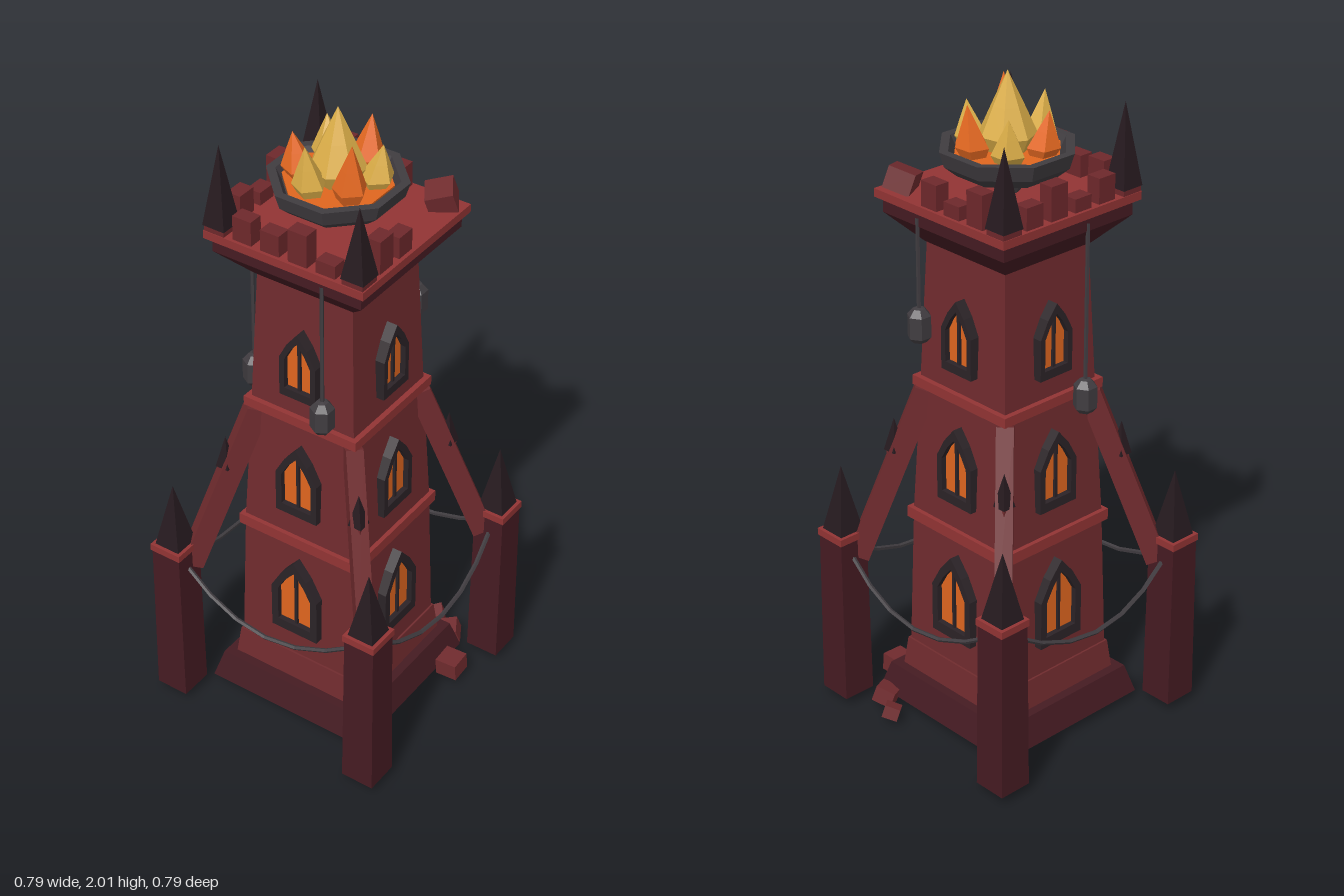
import * as THREE from 'three';

const mat = (color) => new THREE.MeshStandardMaterial({ color, flatShading: true });

export function createModel() {
  const M = {
    brick: mat(0x702b2e), dark: mat(0x451b22), trim: mat(0x923434), merlon: mat(0x6e282b),
    spike: mat(0x261a1f), iron: mat(0x403c40), frame: mat(0x2b2327),
    glow: mat(0xe0661f), orange: mat(0xe86a22), yellow: mat(0xdcae48),
  };
  const root = new THREE.Group();
  root.name = 'watchtower';

  const add = (name, geo, m, x = 0, y = 0, z = 0, parent = root) => {
    const mesh = new THREE.Mesh(geo, m);
    mesh.name = name;
    mesh.position.set(x, y, z);
    parent.add(mesh);
    return mesh;
  };
  // Square frustum given by half widths and its bottom and top heights
  const block = (name, m, y0, y1, bottom, top = bottom, x = 0, z = 0, parent = root) =>
    add(name, new THREE.CylinderGeometry(top * Math.SQRT2, bottom * Math.SQRT2, y1 - y0, 4).rotateY(Math.PI / 4),
      m, x, (y0 + y1) / 2, z, parent);
  // Tube through points, kept angular
  const rope = (name, pts, segs, r = 0.007) =>
    add(name, new THREE.TubeGeometry(new THREE.CatmullRomCurve3(pts), segs, r, 5), M.iron);

  // Tower body
  block('baseSlab', M.dark, 0.02, 0.11, 0.275, 0.25);
  block('baseStep', M.brick, 0.11, 0.2, 0.222, 0.212);
  block('lowerTier', M.brick, 0.2, 0.63, 0.206, 0.195);
  block('lowerBand', M.trim, 0.62, 0.655, 0.208);
  block('middleTier', M.brick, 0.64, 1.06, 0.195, 0.176);
  block('upperBand', M.trim, 1.055, 1.085, 0.192);
  block('upperTier', M.brick, 1.07, 1.52, 0.176, 0.158);
  block('corbel', M.dark, 1.5, 1.585, 0.163, 0.243);
  block('parapet', M.dark, 1.585, 1.635, 0.243);
  block('deck', M.trim, 1.63, 1.655, 0.26);

  // Merlons; the rear left corner of the parapet is broken away
  const heights = [0.08, 0.07, 0.105, 0.045];
  const merlon = (x, z, w, d, h) =>
    add('merlon', new THREE.BoxGeometry(w, h, d), M.merlon, x, 1.65 + h / 2, z);
  [-0.137, -0.046, 0.044, 0.134].forEach((p, i) => {
    merlon(p, 0.228, 0.061, 0.045, heights[i]);
    merlon(-0.228, p, 0.045, 0.061, heights[(i + 1) % 4]);
    if (i < 3) merlon(p, -0.228, 0.061, 0.045, heights[(i + 2) % 4]);
    if (i > 1) merlon(0.226, p, 0.045, 0.061, heights[i - 1]);
  });

  // Parapet pinnacles
  for (const [x, z, top] of [[-0.225, -0.225, 1.9], [-0.225, 0.225, 1.915], [0.223, 0.223, 1.885]]) {
    block('parapetPinnacleBase', M.merlon, 1.65, 1.675, 0.033, 0.033, x, z);
    block('parapetPinnacle', M.spike, 1.672, top, 0.036, 0, x, z);
  }

  // Broken masonry on the deck and around the foot
  for (const [x, y, z, s, rx, ry, rz] of [
    [0.198, 1.685, -0.208, 0.08, 0.25, 0.55, 0.15], [0.313, 0.041, -0.165, 0.07, 0.05, 0.03, 0.04],
    [0.22, 0.03, -0.297, 0.062, 0.2, 0.5, 0.2], [0.143, 0.026, -0.343, 0.048, 0.3, 0.7, 0.1]]) {
    add('rubble', new THREE.BoxGeometry(s, s * 0.8, s), M.brick, x, y, z).rotation.set(rx, ry, rz);
  }

  // Pointed windows on all four sides
  const arch = (Type, w, y0, ys, y1) => {
    const s = new Type();
    s.moveTo(-w, y0);
    s.lineTo(w, y0);
    s.lineTo(w, ys);
    s.lineTo(w * 0.55, ys + (y1 - ys) * 0.55);
    s.lineTo(0, y1);
    s.lineTo(-w * 0.55, ys + (y1 - ys) * 0.55);
    s.lineTo(-w, ys);
    s.closePath();
    return s;
  };
  for (const [y0, h, w, face] of [[0.3, 0.272, 0.081, 0.228], [0.742, 0.242, 0.071, 0.211], [1.155, 0.222, 0.061, 0.198]]) {
    const ys = y0 + h * 0.57;
    const outer = arch(THREE.Shape, w, y0, ys, y0 + h);
    outer.holes.push(arch(THREE.Path, w * 0.72, y0 + h * 0.12, ys - 0.004, y0 + h * 0.86));
    const frameGeo = new THREE.ExtrudeGeometry(outer, { depth: 0.06, bevelEnabled: false });
    const paneGeo = new THREE.ShapeGeometry(arch(THREE.Shape, w * 0.8, y0 + h * 0.08, ys, y0 + h * 0.9));
    for (let k = 0; k < 4; k++) {
      const win = new THREE.Group();
      win.name = 'window';
      win.rotation.y = k * Math.PI / 2;
      root.add(win);
      add('windowFrame', frameGeo, M.frame, 0, 0, face - 0.06, win);
      add('windowPane', paneGeo, M.glow, 0, 0, face - 0.017, win);
      add('windowMullion', new THREE.BoxGeometry(0.009, h * 0.76, 0.01), M.frame, 0, y0 + h * 0.49, face - 0.014, win);
    }
  }

  // Corner piers with flying buttresses
  for (const sx of [-1, 1]) for (const sz of [-1, 1]) {
    const x = sx * 0.344, z = sz * 0.344;
    block('pier', M.dark, 0.02, 0.556, 0.053, 0.049, x, z);
    block('pierCap', M.trim, 0.553, 0.575, 0.053, 0.053, x, z);
    block('pierSpike', M.spike, 0.575, 0.785, 0.042, 0, x, z);
    const a = new THREE.Vector3(sx * 0.312, 0.49, sz * 0.312);
    const b = new THREE.Vector3(sx * 0.165, 1.045, sz * 0.165);
    const mid = a.clone().add(b).multiplyScalar(0.5);
    const arm = add('flyingButtress', new THREE.BoxGeometry(0.05, 0.065, a.distanceTo(b)), M.brick, mid.x, mid.y, mid.z);
    arm.lookAt(b);
    block('buttressPinnacleBase', M.brick, 0.79, 0.845, 0.017, 0.017, sx * 0.232, sz * 0.232);
    block('buttressPinnacle', M.spike, 0.842, 0.945, 0.022, 0, sx * 0.232, sz * 0.232);
  }

  // Sagging chains between the piers
  for (let k = 0; k < 4; k++) {
    const pts = [];
    for (let i = 0; i <= 6; i++) {
      const t = i / 3 - 1, sag = 1 - t * t;
      pts.push(new THREE.Vector3(t * 0.3, 0.495 - 0.1 * sag, 0.345 + 0.028 * sag));
    }
    rope('pierChain', pts, 6).rotation.y = k * Math.PI / 2;
  }

  // Lanterns hanging from the parapet
  const lanternProfile = [[0, -0.052], [0.022, -0.05], [0.035, -0.035], [0.035, 0.03], [0.018, 0.05], [0, 0.054]]
    .map(([r, y]) => new THREE.Vector2(r, y));
  for (const [x, y, z] of [[0.117, 1.18, 0.243], [-0.243, 1.088, 0.07], [0.1, 1.29, -0.243]]) {
    rope('lanternChain', [new THREE.Vector3(x, 1.61, z), new THREE.Vector3(x, y + 0.04, z)], 1, 0.006);
    add('lantern', new THREE.LatheGeometry(lanternProfile, 6), M.iron, x, y, z);
  }

  // Octagonal fire bowl on a pedestal
  add('bowlPedestal', new THREE.CylinderGeometry(0.065, 0.035, 0.07, 8), M.iron, 0, 1.69, 0);
  const bowl = [[0, 1.715], [0.148, 1.715], [0.184, 1.745], [0.198, 1.79], [0.172, 1.79], [0.155, 1.755], [0, 1.755]]
    .map(([r, y]) => new THREE.Vector2(r, y));
  add('fireBowl', new THREE.LatheGeometry(bowl, 8, Math.PI / 8), M.iron);
  add('embers', new THREE.CylinderGeometry(0.155, 0.15, 0.03, 8).rotateY(Math.PI / 8), M.glow, 0, 1.762, 0);

  // Crystal-like flames: a low bulge rising to a point
  const flame = (x, z, tip, r, sides, m, turn, lean) => {
    const h = tip - 1.77;
    const prof = [[0, 0], [r * 0.7, 0], [r, h * 0.22], [r * 0.55, h * 0.58], [0, h]].map(([a, y]) => new THREE.Vector2(a, y));
    const geo = new THREE.LatheGeometry(prof, sides).rotateY(turn);
    const p = geo.attributes.position;
    for (let i = 0; i < p.count; i++) {
      const k = 1 + lean * p.getY(i) / h;
      p.setXYZ(i, p.getX(i) + x * (k - 1), p.getY(i), p.getZ(i) + z * (k - 1));
    }
    add('flame', geo, m, x, 1.77, z);
  };
  flame(0, 0, 2.0, 0.082, 7, M.yellow, 0.2, 0);
  [[-0.08, -0.072, 1.905, 0], [0.02, -0.105, 1.925, 1], [0.096, -0.038, 1.9, 0],
    [0.083, 0.066, 1.952, 1], [-0.02, 0.098, 1.925, 0], [-0.098, 0.036, 1.905, 1]]
    .forEach(([x, z, tip, o], i) => flame(x, z, tip, 0.049, 5, o ? M.orange : M.yellow, i * 1.3, 0.2));

  return root;
}
